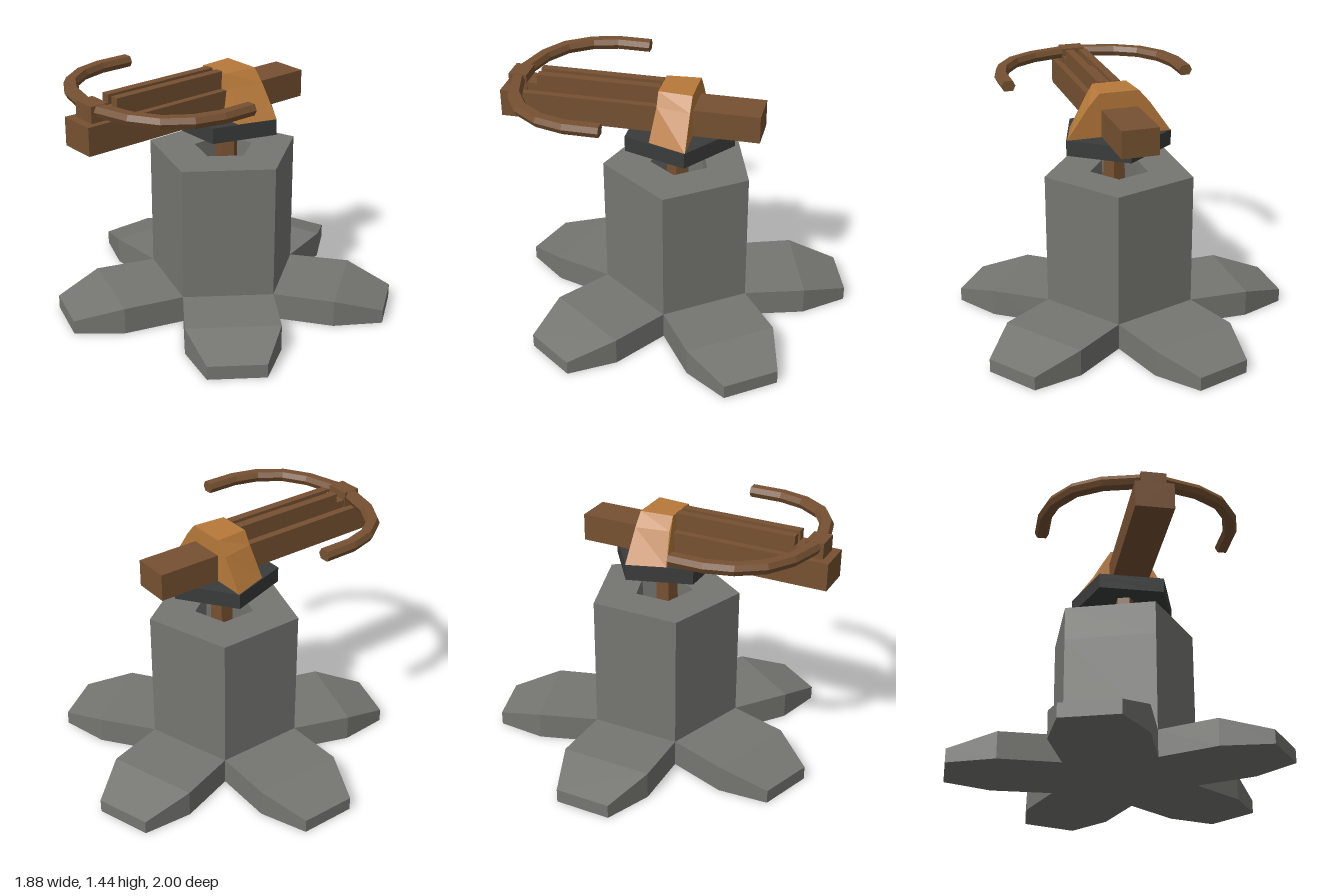
import * as THREE from 'three';

const CX = 0.075; // centre line of the weapon

// Skin a list of equal rings; rings run counter-clockwise seen from the far end
function loft(rings) {
  const pos = [];
  const tri = (a, b, c) => pos.push(...a, ...b, ...c);
  const n = rings[0].length;
  for (let s = 0; s < rings.length - 1; s++) {
    for (let i = 0; i < n; i++) {
      const j = (i + 1) % n, a = rings[s], b = rings[s + 1];
      tri(a[i], a[j], b[j]);
      tri(a[i], b[j], b[i]);
    }
  }
  const first = rings[0], last = rings[rings.length - 1];
  for (let i = 1; i < n - 1; i++) {
    tri(first[0], first[i + 1], first[i]);
    tri(last[0], last[i], last[i + 1]);
  }
  const g = new THREE.BufferGeometry();
  g.setAttribute('position', new THREE.Float32BufferAttribute(pos, 3));
  g.computeVertexNormals();
  return g;
}

// Upright pentagonal prism, optionally hollow
function pentagon(r, y0, y1, start, hole = 0) {
  const pts = (rad) => Array.from({ length: 5 }, (_, k) => {
    const a = start + k * Math.PI * 0.4;
    return new THREE.Vector2(rad * Math.cos(a), rad * Math.sin(a));
  });
  const shape = new THREE.Shape(pts(r));
  if (hole) shape.holes.push(new THREE.Path(pts(hole).reverse()));
  const g = new THREE.ExtrudeGeometry(shape, { depth: y1 - y0, bevelEnabled: false });
  return g.rotateX(-Math.PI / 2).translate(0, y0, 0);
}

export function createModel() {
  const model = new THREE.Group();
  const material = (name, color) => {
    const m = new THREE.MeshStandardMaterial({ color });
    m.name = name;
    return m;
  };
  const stone = material('grey stone', 0x757671);
  const iron = material('dark iron', 0x3a3c3b);
  const wood = material('brown wood', 0x765131);
  const bronze = material('bronze', 0xb7793a);

  const add = (parent, name, geometry, mat) => {
    const mesh = new THREE.Mesh(geometry, mat);
    mesh.name = name;
    parent.add(mesh);
    return mesh;
  };
  const box = (parent, name, x0, x1, y0, y1, z0, z1) => {
    const g = new THREE.BoxGeometry(x1 - x0, y1 - y0, z1 - z0);
    g.translate((x0 + x1) / 2, (y0 + y1) / 2, (z0 + z1) / 2);
    return add(parent, name, g, wood);
  };

  // Stone base: pentagon hub with five sloping feet
  const base = new THREE.Group();
  base.name = 'base';
  base.position.set(0.045, 0, -0.015);
  model.add(base);
  add(base, 'hub', pentagon(0.445, 0, 0.157, 0), stone);
  const footRing = (x, h, w) => [[x, 0, -w], [x, h, -w], [x, h, w], [x, 0, w]];
  const footGeometry = loft([
    footRing(0.36, 0.157, 0.2616), footRing(0.715, 0.157, 0.268), footRing(0.985, 0.08, 0.163),
  ]);
  for (let k = 0; k < 5; k++) {
    add(base, 'foot', footGeometry, stone).rotation.y = Math.PI * (0.2 + 0.4 * k);
  }

  // Column with a socket in its top
  add(base, 'column', pentagon(0.445, 0.157, 0.74, 0), stone);
  add(base, 'columnRim', pentagon(0.445, 0.74, 0.94, 0, 0.175), stone);

  // Swivel post and iron turntable, hollow below
  const swivel = new THREE.Group();
  swivel.name = 'swivel';
  swivel.position.set(CX, 0, -0.01);
  model.add(swivel);
  const post = new THREE.CylinderGeometry(0.06, 0.07, 0.42, 5).toNonIndexed();
  post.computeVertexNormals();
  post.rotateY(Math.PI / 2).translate(0, 0.95, 0);
  add(swivel, 'post', post, wood);
  add(swivel, 'turntableRim', pentagon(0.325, 1.09, 1.15, Math.PI / 2, 0.25), iron);
  add(swivel, 'turntable', pentagon(0.325, 1.15, 1.18, Math.PI / 2), iron);

  // Bronze saddle clamping the stock, narrower toward the front
  const saddleRing = (low, mid, top, zLow, zTop) => [
    [CX - low, 1.18, zLow], [CX + low, 1.18, zLow],
    [CX + mid, 1.36, zTop], [CX + top, 1.435, zTop],
    [CX - top, 1.435, zTop], [CX - mid, 1.36, zTop],
  ];
  add(model, 'saddle', loft([
    saddleRing(0.305, 0.18, 0.115, -0.115, -0.115),
    saddleRing(0.23, 0.145, 0.1, 0.105, 0.08),
  ]), bronze);

  // Stock with twin guide rails and a bolt between them
  const weapon = new THREE.Group();
  weapon.name = 'weapon';
  model.add(weapon);
  box(weapon, 'stock', -0.035, 0.18, 1.182, 1.34, -0.49, 1.0);
  box(weapon, 'railBed', 0.01, 0.14, 1.34, 1.385, 0.08, 0.86);
  for (const side of [-1, 1]) {
    const x = CX + side * 0.041;
    box(weapon, 'guideRail', x - 0.024, x + 0.024, 1.385, 1.44, 0.08, 0.79);
  }
  box(weapon, 'bolt', CX - 0.012, CX + 0.012, 1.385, 1.425, 0.08, 0.46);
  box(weapon, 'bowMount', 0.005, 0.145, 1.34, 1.432, 0.85, 0.955);

  // Curved bow with a flattened six-sided section
  const half = [[0.54, 0.285], [0.54, 0.48], [0.5, 0.63], [0.405, 0.765], [0.265, 0.85], [0.07, 0.9]];
  const path = [
    ...half.map(([x, z]) => new THREE.Vector2(CX - x, z)),
    ...half.slice().reverse().map(([x, z]) => new THREE.Vector2(CX + x, z)),
  ];
  const section = [[0.03, -0.026], [0.03, 0.026], [0, 0.041], [-0.03, 0.026], [-0.03, -0.026], [0, -0.041]];
  const bowRings = path.map((p, i) => {
    const prev = path[Math.max(i - 1, 0)], next = path[Math.min(i + 1, path.length - 1)];
    const t = next.clone().sub(prev).normalize();
    return section.map(([u, v]) => [p.x - t.y * v, 1.4 + u, p.y + t.x * v]);
  });
  add(weapon, 'bow', loft(bowRings), wood);

  return model;
}
